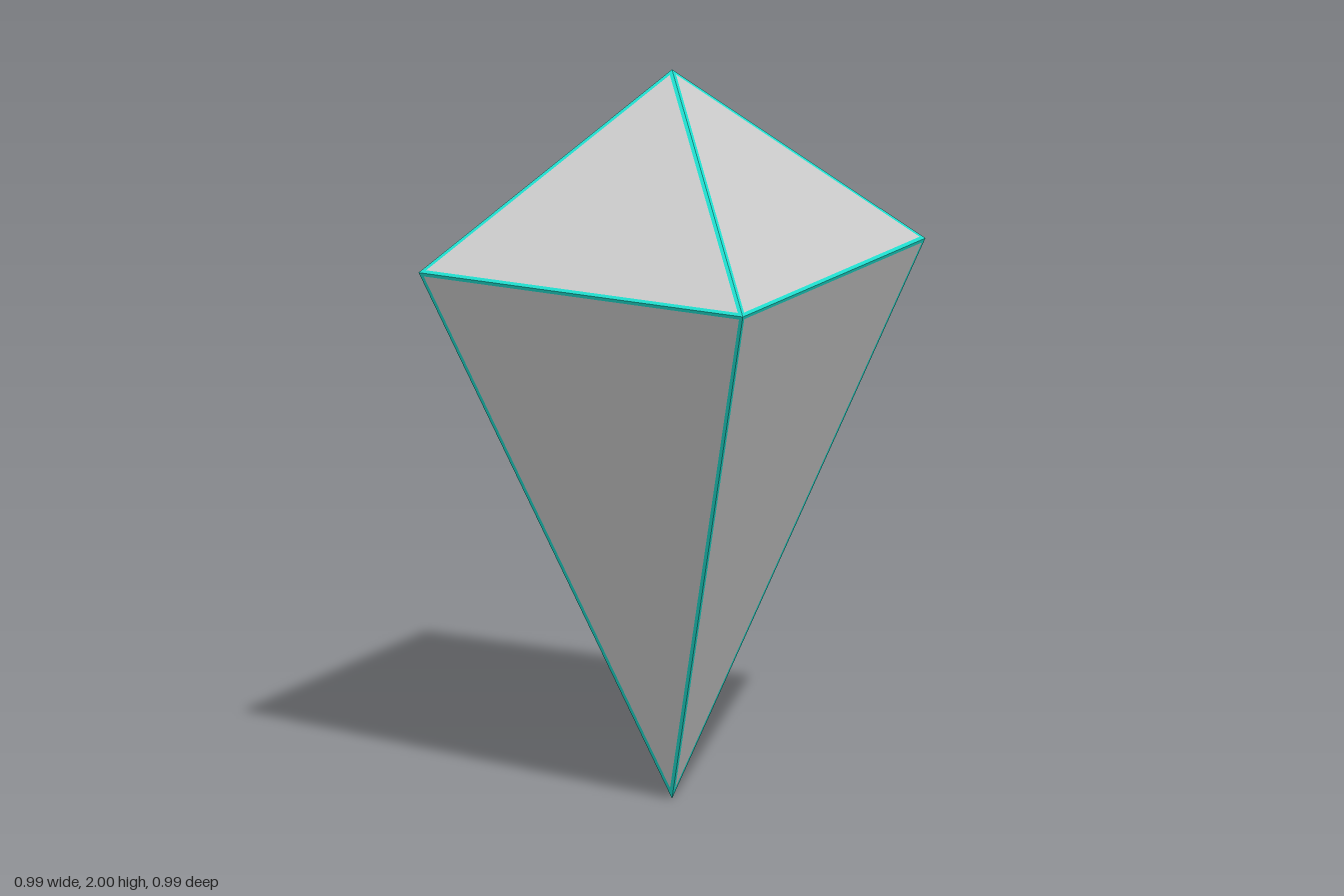
import * as THREE from 'three';

const HALF = 0.495, GIRDLE = 1.49, TOP = 2, TRIM = 0.01;

// Flat-shaded mesh from a list of triangles, each three Vector3 corners
function facetMesh(name, triangles, color) {
  const geometry = new THREE.BufferGeometry().setFromPoints(triangles.flat());
  geometry.computeVertexNormals();
  const mesh = new THREE.Mesh(geometry, new THREE.MeshStandardMaterial({ color, flatShading: true }));
  mesh.name = name;
  return mesh;
}

// Shrinks a triangle towards its incentre so an even border of the given width remains
function insetTriangle([a, b, c], width) {
  const la = b.distanceTo(c), lb = c.distanceTo(a), lc = a.distanceTo(b);
  const perimeter = la + lb + lc;
  const centre = new THREE.Vector3()
    .addScaledVector(a, la / perimeter)
    .addScaledVector(b, lb / perimeter)
    .addScaledVector(c, lc / perimeter);
  const inradius = 2 * new THREE.Triangle(a, b, c).getArea() / perimeter;
  return [a, b, c].map(p => p.clone().lerp(centre, width / inradius));
}

// One four-sided pyramid: grey facets framed by a thin coloured edge trim
function pyramid(name, tipY) {
  const tip = new THREE.Vector3(0, tipY, 0);
  const corners = [[1, 1], [1, -1], [-1, -1], [-1, 1]]
    .map(([x, z]) => new THREE.Vector3(x * HALF, GIRDLE, z * HALF));
  const facets = [], trim = [];
  corners.forEach((p, i) => {
    const q = corners[(i + 1) % 4];
    const outer = tipY > GIRDLE ? [p, q, tip] : [q, p, tip];
    const inner = insetTriangle(outer, TRIM);
    facets.push(inner);
    for (let k = 0; k < 3; k++) {
      const n = (k + 1) % 3;
      trim.push([outer[k], outer[n], inner[n]], [outer[k], inner[n], inner[k]]);
    }
  });
  const group = new THREE.Group();
  group.name = name;
  group.add(facetMesh(name + 'Facets', facets, 0xcccccc), facetMesh(name + 'EdgeTrim', trim, 0x1fe0d0));
  return group;
}

export function createModel() {
  const model = new THREE.Group();
  model.name = 'crystal';
  model.add(pyramid('upperPyramid', TOP), pyramid('lowerPyramid', 0));
  return model;
}
